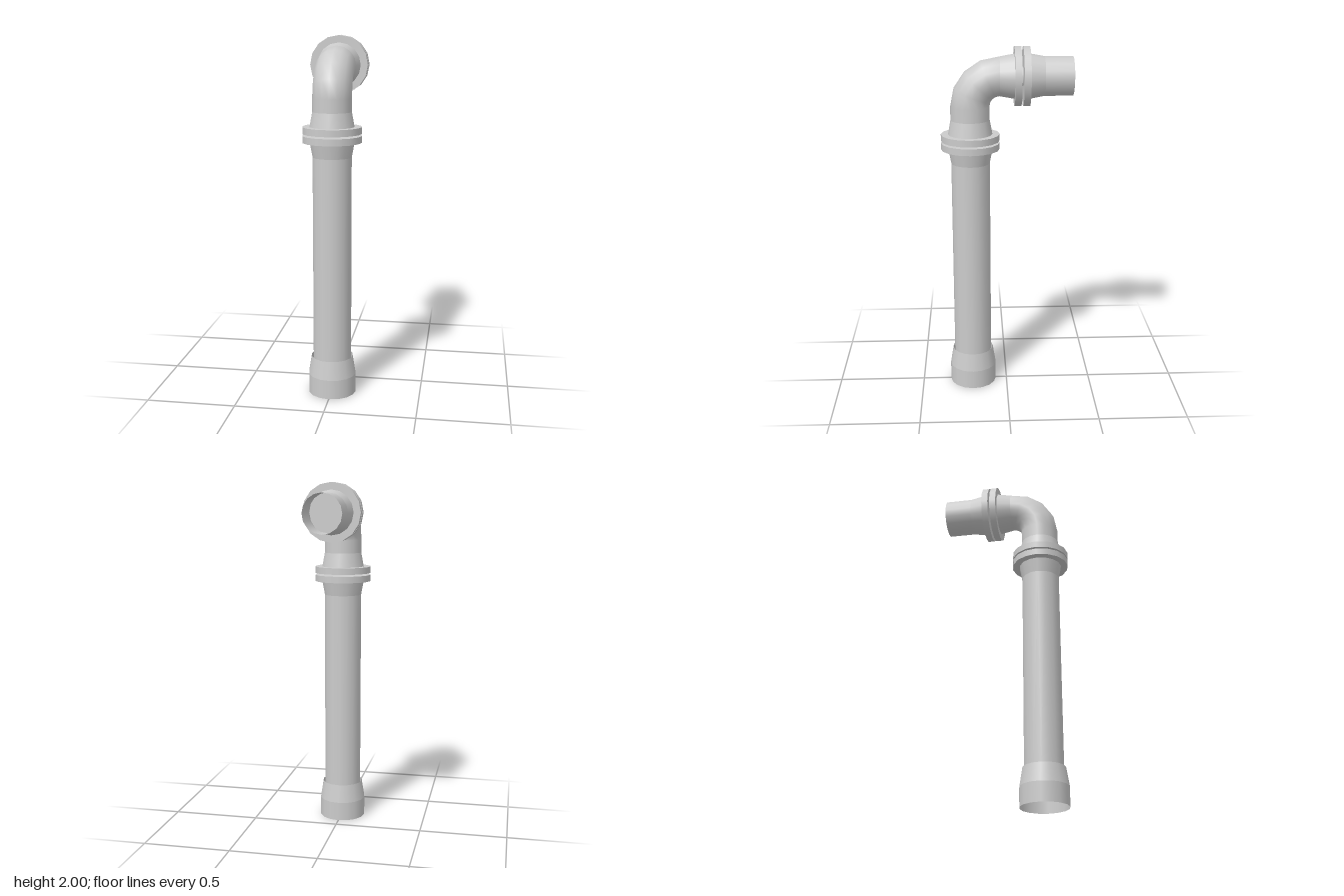
import * as THREE from 'three';

const SIDES = 16, PIPE_R = 0.108, COLLAR_R = 0.123, FLANGE_R = 0.163;
const AXIS_Z = 0.2, OUTLET_Y = 1.837, BEND_R = 0.163;

export function createModel() {
  const model = new THREE.Group();
  const material = new THREE.MeshStandardMaterial({ color: 0xcccccc, side: THREE.DoubleSide });

  // Round section between two heights along its parent's y axis
  function section(parent, name, y0, y1, r0, r1, capped = false) {
    const geometry = new THREE.CylinderGeometry(r1, r0, y1 - y0, SIDES, 1, !capped);
    const mesh = new THREE.Mesh(geometry, material);
    mesh.name = name;
    mesh.position.y = (y0 + y1) / 2;
    parent.add(mesh);
  }

  // Two flared collars with facing flanges and a small gasket between them
  function flangeJoint(name) {
    const joint = new THREE.Group();
    joint.name = name;
    section(joint, 'lowerCollar', -0.1225, -0.0425, PIPE_R, COLLAR_R);
    section(joint, 'lowerFlange', -0.0425, -0.0055, FLANGE_R, FLANGE_R, true);
    section(joint, 'gasket', -0.0055, 0.0055, 0.052, 0.052);
    section(joint, 'upperFlange', 0.0055, 0.0425, FLANGE_R, FLANGE_R, true);
    section(joint, 'upperCollar', 0.0425, 0.1225, COLLAR_R, PIPE_R);
    return joint;
  }

  // Upright pipe with a wider open socket at its foot
  const riser = new THREE.Group();
  riser.name = 'riser';
  riser.position.z = AXIS_Z;
  section(riser, 'socket', 0, 0.11, 0.135, 0.135);
  section(riser, 'socketTaper', 0.11, 0.215, 0.135, 0.118);
  section(riser, 'uprightPipe', 0.2, 1.355, PIPE_R, PIPE_R);
  section(riser, 'neck', 1.6, OUTLET_Y - BEND_R, PIPE_R, PIPE_R);
  const riserJoint = flangeJoint('riserJoint');
  riserJoint.position.y = 1.4775;
  riser.add(riserJoint);
  model.add(riser);

  // Quarter bend from the upright to the rear outlet
  const bend = new THREE.TorusGeometry(BEND_R, PIPE_R, SIDES, 4, Math.PI / 2);
  bend.rotateY(-Math.PI / 2);
  const elbow = new THREE.Mesh(bend, material);
  elbow.name = 'elbow';
  elbow.position.set(0, OUTLET_Y - BEND_R, AXIS_Z - BEND_R);
  model.add(elbow);

  // Horizontal outlet: local y runs towards the back
  const outlet = new THREE.Group();
  outlet.name = 'outlet';
  outlet.position.y = OUTLET_Y;
  outlet.rotation.x = -Math.PI / 2;
  const outletJoint = flangeJoint('outletJoint');
  outletJoint.position.y = 0.0855;
  outlet.add(outletJoint);
  section(outlet, 'outletPipe', 0.208, 0.363, PIPE_R, PIPE_R);
  model.add(outlet);

  return model;
}
